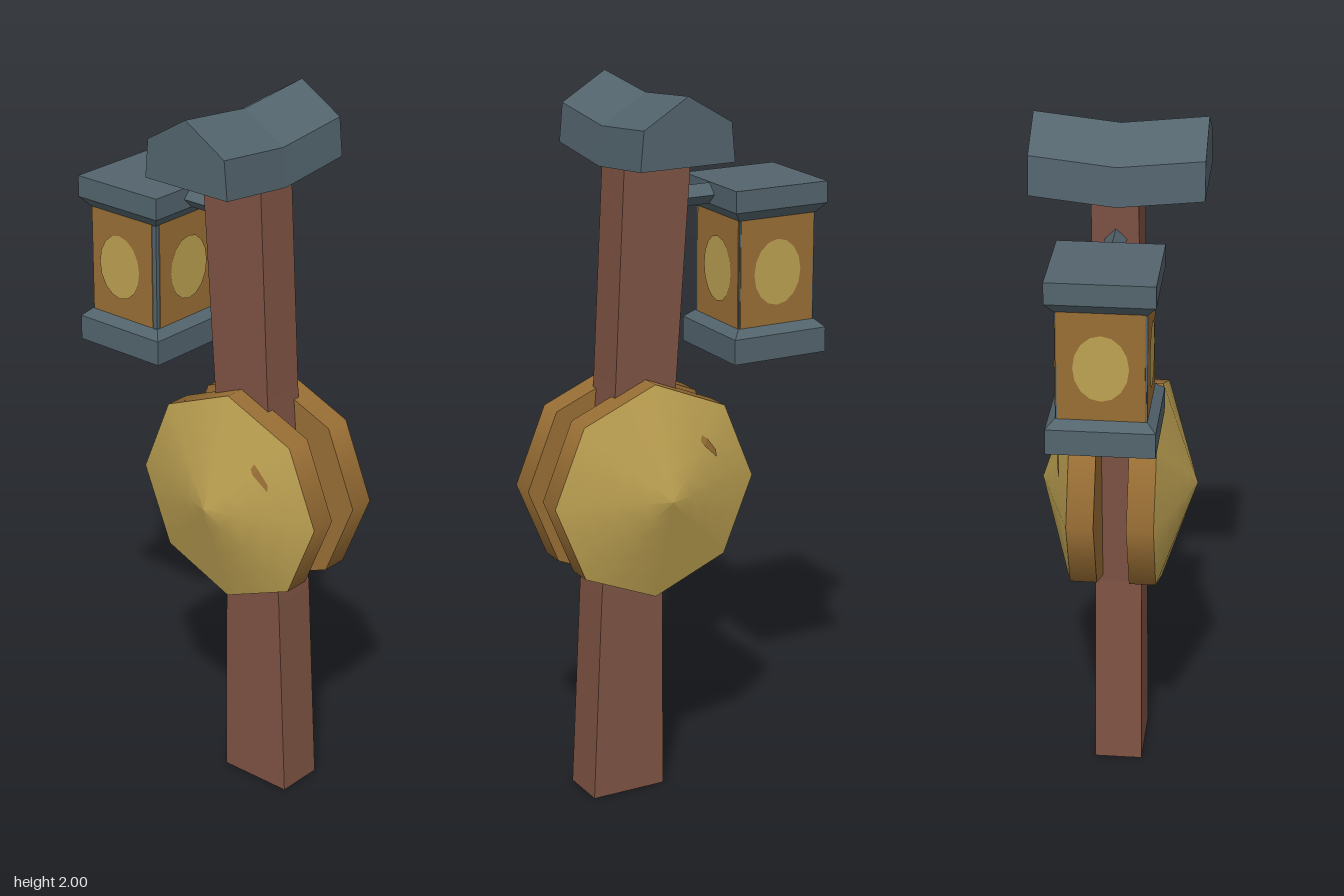
import * as THREE from 'three';

const mat = (name, color) => Object.assign(new THREE.MeshStandardMaterial({ color }), { name });

// Skin a closed loft through rings of points (counter-clockwise seen from the last ring)
function loft(rings, capGroup = 0) {
  const pos = [], n = rings[0].length;
  const tri = (a, b, c) => pos.push(...a, ...b, ...c);
  for (let k = 0; k < rings.length - 1; k++) {
    for (let i = 0; i < n; i++) {
      const j = (i + 1) % n, a = rings[k], b = rings[k + 1];
      tri(a[i], a[j], b[j]);
      tri(a[i], b[j], b[i]);
    }
  }
  const sideCount = pos.length / 3, first = rings[0], last = rings[rings.length - 1];
  for (let i = 1; i < n - 1; i++) tri(last[0], last[i], last[i + 1]);
  const startCap = pos.length / 3;
  for (let i = 1; i < n - 1; i++) tri(first[0], first[i + 1], first[i]);
  const g = new THREE.BufferGeometry();
  g.setAttribute('position', new THREE.Float32BufferAttribute(pos, 3));
  g.addGroup(0, sideCount, 0);
  g.addGroup(sideCount, startCap - sideCount, 0);
  g.addGroup(startCap, pos.length / 3 - startCap, capGroup);
  g.computeVertexNormals();
  return g;
}

// Horizontal rectangle ring
const rect = (x0, x1, z0, z1, y) => [[x0, y, z1], [x1, y, z1], [x1, y, z0], [x0, y, z0]];

export function createModel() {
  const wood = mat('wood', 0x7f5344);
  const slate = mat('slate', 0x53646d);
  const gold = mat('gold', 0xbda152);
  const amber = mat('amber', 0x9a6f35);
  const root = new THREE.Group();
  root.name = 'lanternPost';
  const add = (parent, name, geo, m) => {
    const mesh = new THREE.Mesh(geo, m);
    mesh.name = name;
    parent.add(mesh);
    return mesh;
  };

  // Leaning, tapered post
  add(root, 'post', loft([
    rect(0.055, 0.275, -0.075, 0.062, 0),
    rect(0.055, 0.245, -0.073, 0.06, 0.6),
    rect(0.01, 0.197, -0.071, 0.058, 1.2),
    rect(-0.036, 0.165, -0.07, 0.056, 1.83),
  ], 1), [wood, gold]);

  // Sagging roof cap
  const gable = (z, dy) => [[-0.075, 1.815], [0.205, 1.815], [0.195, 1.922], [0.065, 2], [-0.065, 1.922]]
    .map(([x, y]) => [x, y + dy, z]);
  add(root, 'roof', loft([gable(-0.232, 0), gable(0, -0.025), gable(0.232, 0)]), slate);

  // Two opposed octagonal shields
  const R = 0.305, rimZ = 0.12, apexZ = 0.22;
  const onCone = (x, y) => {
    const off = (Math.atan2(y, x) % (Math.PI / 4)) - Math.PI / 8;
    const d = Math.hypot(x, y) * Math.cos(off) / (R * Math.cos(Math.PI / 8));
    return [x, y, apexZ - (apexZ - rimZ) * d + 0.003];
  };
  for (const [name, turn] of [['frontShield', 0], ['backShield', Math.PI]]) {
    const shield = new THREE.Group();
    shield.name = name;
    shield.position.set(0.105, 0.902, -0.006);
    shield.rotation.y = turn;
    root.add(shield);
    add(shield, 'shieldRim', new THREE.CylinderGeometry(R, R, 0.075, 8)
      .rotateX(Math.PI / 2).translate(0, 0, 0.0825), amber);
    add(shield, 'shieldDome', new THREE.ConeGeometry(R, apexZ - rimZ, 8, 4, true)
      .rotateX(Math.PI / 2).translate(0, 0, (apexZ + rimZ) / 2), gold);
    // Small scratch across one ridge
    const inner = [[0.117, 0.138], [0.126, 0.126], [0.17, 0.085]];
    const outer = [[0.124, 0.154], [0.141, 0.141], [0.17, 0.104]];
    const pts = [];
    for (let i = 0; i < 2; i++) {
      const [a, b, c, d] = [inner[i], inner[i + 1], outer[i + 1], outer[i]].map(p => onCone(...p));
      pts.push(...a, ...b, ...c, ...a, ...c, ...d);
    }
    const scratch = new THREE.BufferGeometry();
    scratch.setAttribute('position', new THREE.Float32BufferAttribute(pts, 3));
    scratch.computeVertexNormals();
    add(shield, 'shieldScratch', scratch, amber);
  }

  // Diamond-section bracket
  add(root, 'bracket', new THREE.CylinderGeometry(0.029, 0.029, 0.2, 4, 1)
    .toNonIndexed().rotateZ(Math.PI / 2).translate(-0.08, 1.684, -0.005), slate)
    .geometry.computeVertexNormals();

  // Lantern
  const lantern = new THREE.Group();
  lantern.name = 'lantern';
  lantern.position.set(-0.271, 0, -0.008);
  root.add(lantern);
  const sq = (h, y) => rect(-h, h, -h, h, y);
  add(lantern, 'lanternFrame', loft([sq(0.118, 1.3), sq(0.118, 1.65)]), slate);
  add(lantern, 'lanternCap', loft([sq(0.118, 1.625), sq(0.143, 1.655), sq(0.143, 1.715)]), slate);
  add(lantern, 'lanternBase', loft([sq(0.144, 1.235), sq(0.144, 1.305), sq(0.12, 1.327)]), slate);

  // Glass pane and glow on each side: [turn, pane left, pane right, glow centre]
  const sides = [
    ['front', 0, -0.116, 0.104, -0.014],
    ['left', Math.PI / 2, -0.106, 0.114, 0.008],
    ['back', Math.PI, -0.114, 0.114, 0],
    ['right', -Math.PI / 2, -0.114, 0.114, 0],
  ];
  for (const [name, turn, x0, x1, cx] of sides) {
    const side = new THREE.Group();
    side.name = name + 'Window';
    side.rotation.y = turn;
    lantern.add(side);
    add(side, 'glassPane', new THREE.BoxGeometry(x1 - x0, 0.302, 0.004)
      .translate((x0 + x1) / 2, 1.476, 0.118), amber);
    add(side, 'glow', new THREE.CircleGeometry(1, 16).scale(0.073, 0.092, 1)
      .translate(cx, 1.474, 0.123), gold);
  }
  return root;
}
